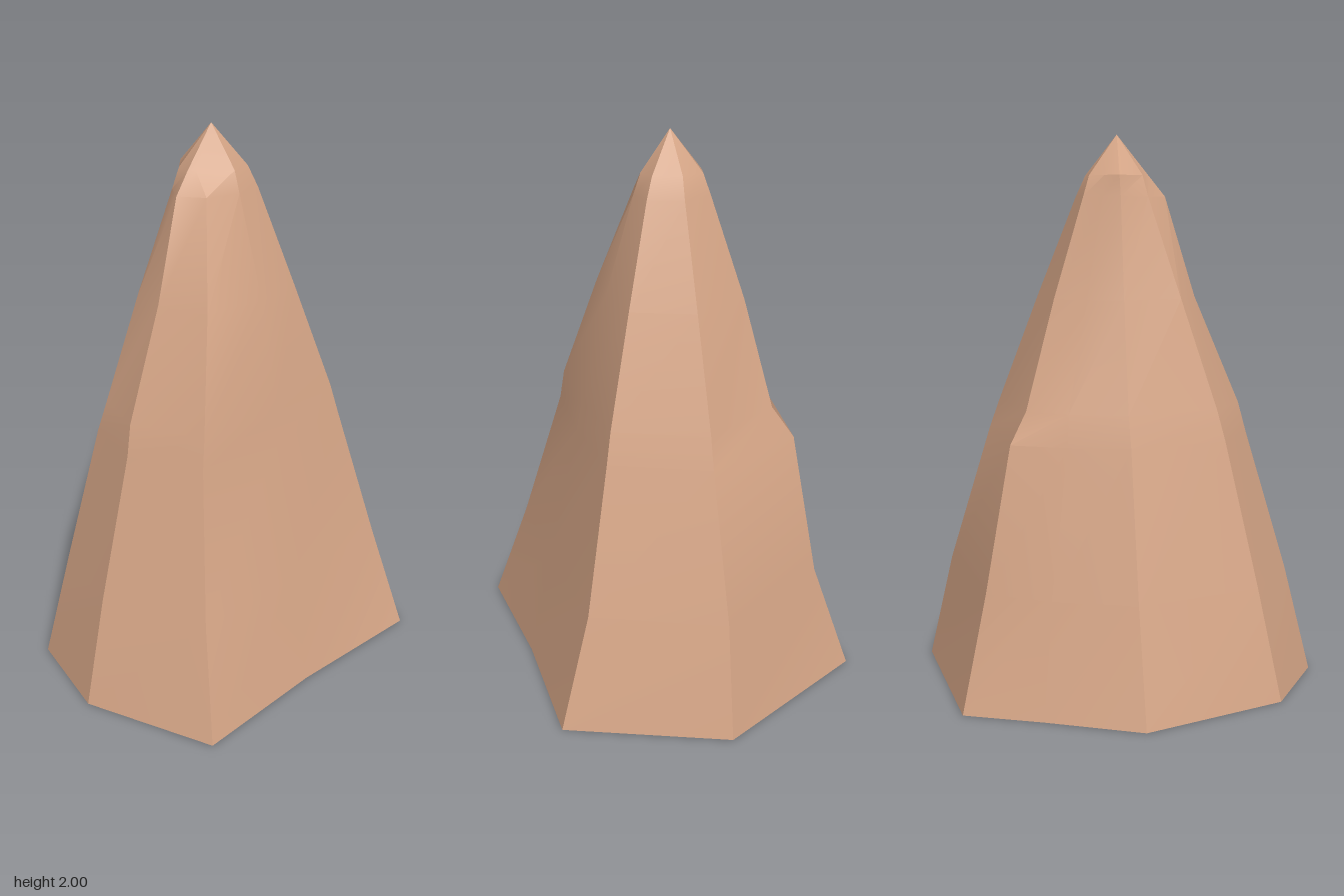
import * as THREE from 'three';
import { toCreasedNormals } from 'three/addons/utils/BufferGeometryUtils.js';

// Heights of the cross-sections, from the ground to just under the tip
const LEVELS = [0, 0.4, 0.92, 1.03, 1.42, 1.78, 1.855];

// Ridges running up the rock: [x, z] at each level, from the right side round the front
const RIDGES = [
  [[-0.74, 0], [-0.64, 0], [-0.485, 0], [-0.455, -0.01], [-0.29, -0.015], [-0.18, -0.02], [-0.12, -0.02]],
  [[-0.63, 0.495], [-0.53, 0.385], [-0.4, 0.27], [-0.38, 0.26], [-0.25, 0.17], [-0.13, 0.07], [-0.1, 0]],
  [[-0.12, 0.54], [-0.1, 0.455], [-0.06, 0.345], [-0.05, 0.325], [-0.03, 0.235], [-0.02, 0.125], [-0.015, 0.1]],
  [[0.41, 0.63], [0.365, 0.5], [0.27, 0.375], [0.25, 0.35], [0.165, 0.235], [0.085, 0.125], [0.065, 0.095]],
  [[0.735, 0.12], [0.64, 0.09], [0.48, 0.07], [0.44, 0.06], [0.29, 0.035], [0.145, 0.01], [0.11, 0]],
  [[0.51, -0.51], [0.44, -0.39], [0.355, -0.33], [0.305, -0.265], [0.21, -0.195], [0.11, -0.11], [0.09, -0.09]],
  [[0.22, -0.56], [0.2, -0.47], [0.15, -0.37], [0.15, -0.33], [0.09, -0.225], [0.04, -0.13], [0.035, -0.115]],
  [[-0.13, -0.635], [-0.1, -0.51], [-0.07, -0.39], [-0.06, -0.36], [-0.04, -0.24], [-0.025, -0.15], [-0.02, -0.135]],
  [[-0.605, -0.345], [-0.52, -0.29], [-0.4, -0.22], [-0.37, -0.2], [-0.24, -0.15], [-0.12, -0.09], [-0.1, -0.075]],
];

function rockGeometry() {
  const n = RIDGES.length;
  const top = LEVELS.length - 1;
  const positions = [];
  const index = [];

  LEVELS.forEach((y, l) => RIDGES.forEach((ridge) => positions.push(ridge[l][0], y, ridge[l][1])));
  const tip = positions.length / 3;
  positions.push(-0.005, 2, -0.01);
  const base = tip + 1;
  positions.push(0, 0, 0);

  for (let i = 0; i < n; i++) {
    const j = (i + 1) % n;
    // Side facets
    for (let l = 0; l < top; l++) {
      const a = l * n + i, b = l * n + j;
      index.push(a, b, b + n, a, b + n, a + n);
    }
    // Pointed tip and flat underside
    index.push(top * n + i, top * n + j, tip);
    index.push(base, j, i);
  }

  const geometry = new THREE.BufferGeometry();
  geometry.setAttribute('position', new THREE.Float32BufferAttribute(positions, 3));
  geometry.setIndex(index);
  // Soft faces, sharp ridges
  return toCreasedNormals(geometry, THREE.MathUtils.degToRad(24));
}

export function createModel() {
  const sandstone = new THREE.MeshStandardMaterial({ color: 0xd5a586 });
  sandstone.name = 'sandstone';

  const rock = new THREE.Mesh(rockGeometry(), sandstone);
  rock.name = 'rockSpire';

  const group = new THREE.Group();
  group.name = 'rock';
  group.add(rock);
  return group;
}
